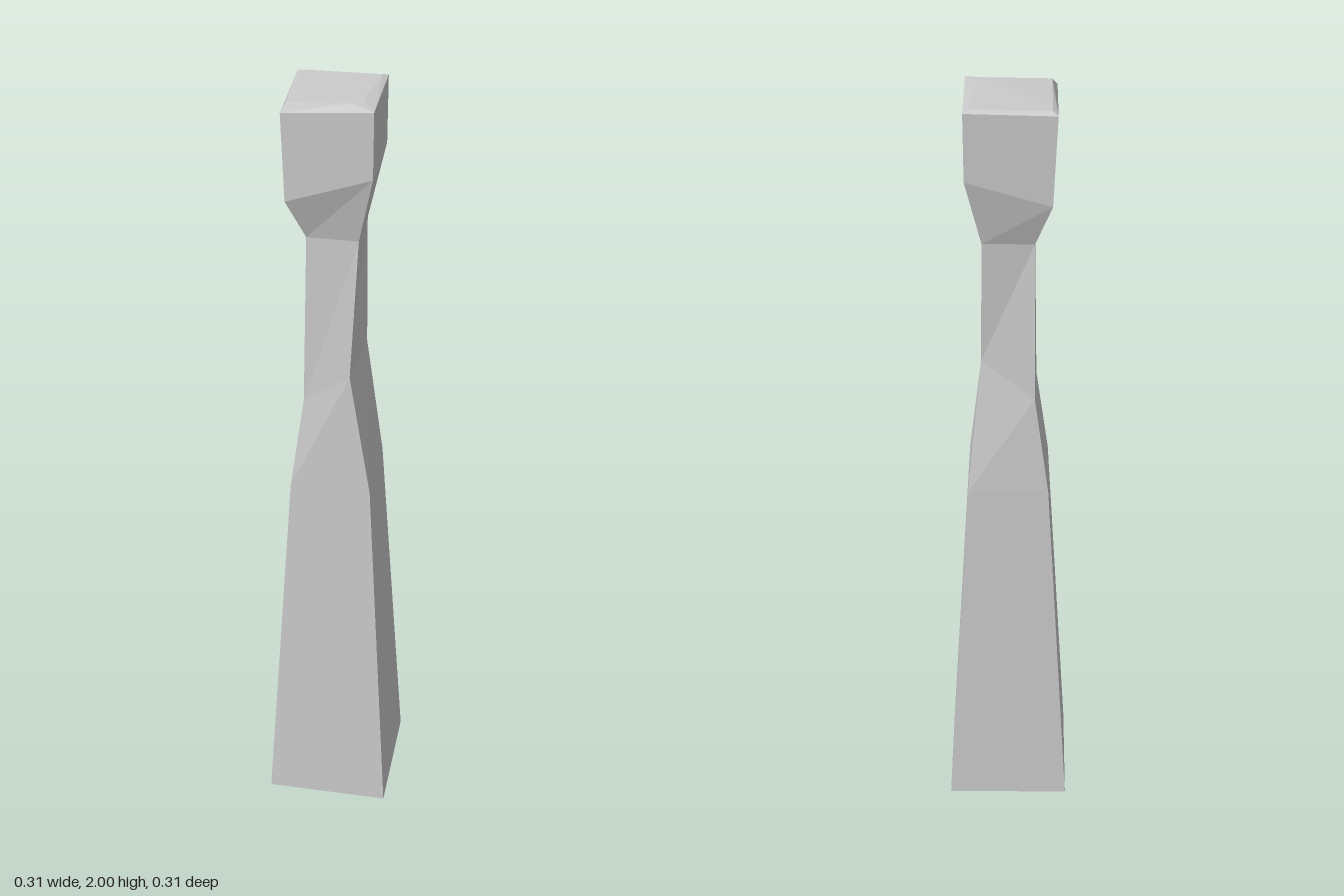
import * as THREE from 'three';

// Skins consecutive corner loops (counter-clockwise from above) with flat quads.
function loftLoops(loops, capTop) {
  const pos = [];
  const tri = (a, b, c) => pos.push(...a, ...b, ...c);
  for (let k = 0; k < loops.length - 1; k++) {
    const lo = loops[k], hi = loops[k + 1], n = lo.length;
    for (let i = 0; i < n; i++) {
      const j = (i + 1) % n;
      if (lo[i] !== lo[j]) tri(lo[i], lo[j], hi[j]);
      tri(lo[i], hi[j], hi[i]);
    }
  }
  if (capTop) {
    const top = loops[loops.length - 1];
    for (let i = 1; i < top.length - 1; i++) tri(top[0], top[i], top[i + 1]);
  }
  const geo = new THREE.BufferGeometry();
  geo.setAttribute('position', new THREE.Float32BufferAttribute(pos, 3));
  geo.computeVertexNormals();
  return geo;
}

// Square loop: front left, back left, back right, front right
const square = (r, y) => [[r, y, r], [r, y, -r], [-r, y, -r], [-r, y, r]];

export function createModel() {
  const group = new THREE.Group();
  group.name = 'carvedPost';
  const material = new THREE.MeshStandardMaterial({
    color: 0xcccccc, flatShading: true, side: THREE.DoubleSide,
  });
  const add = (name, geo) => {
    const mesh = new THREE.Mesh(geo, material);
    mesh.name = name;
    group.add(mesh);
  };

  const shoulder = square(0.099, 0.98);
  const waist = [[0.045, 1.3, 0.083], [0.065, 1.33, -0.047], [-0.064, 1.24, -0.076], [-0.068, 1.22, 0.076]];
  const neck = square(0.061, 1.655);
  const headBase = [[0.098, 1.83, 0.099], [0.098, 1.83, -0.099], [-0.1, 1.77, -0.099], [-0.102, 1.76, 0.099]];
  const rim = [[0.099, 1.992, 0.1], [0.099, 1.995, -0.1], [-0.109, 1.99, -0.1], [-0.109, 1.975, 0.1]];

  // Tapered base, open underneath
  add('base', loftLoops([square(0.156, 0), shoulder]));
  // Unevenly carved narrow grip
  add('neck', loftLoops([shoulder, waist, neck]));
  // Flared block head
  add('head', loftLoops([neck, headBase, rim]));
  // Chipped top: the front left corner is worn to two points
  const worn = [[0.045, 2, 0.078], [0.068, 2, 0.055], [0.087, 2, -0.088], [-0.097, 1.997, -0.088], [-0.097, 1.995, 0.085]];
  add('top', loftLoops([[rim[0], ...rim], worn], true));
  return group;
}
